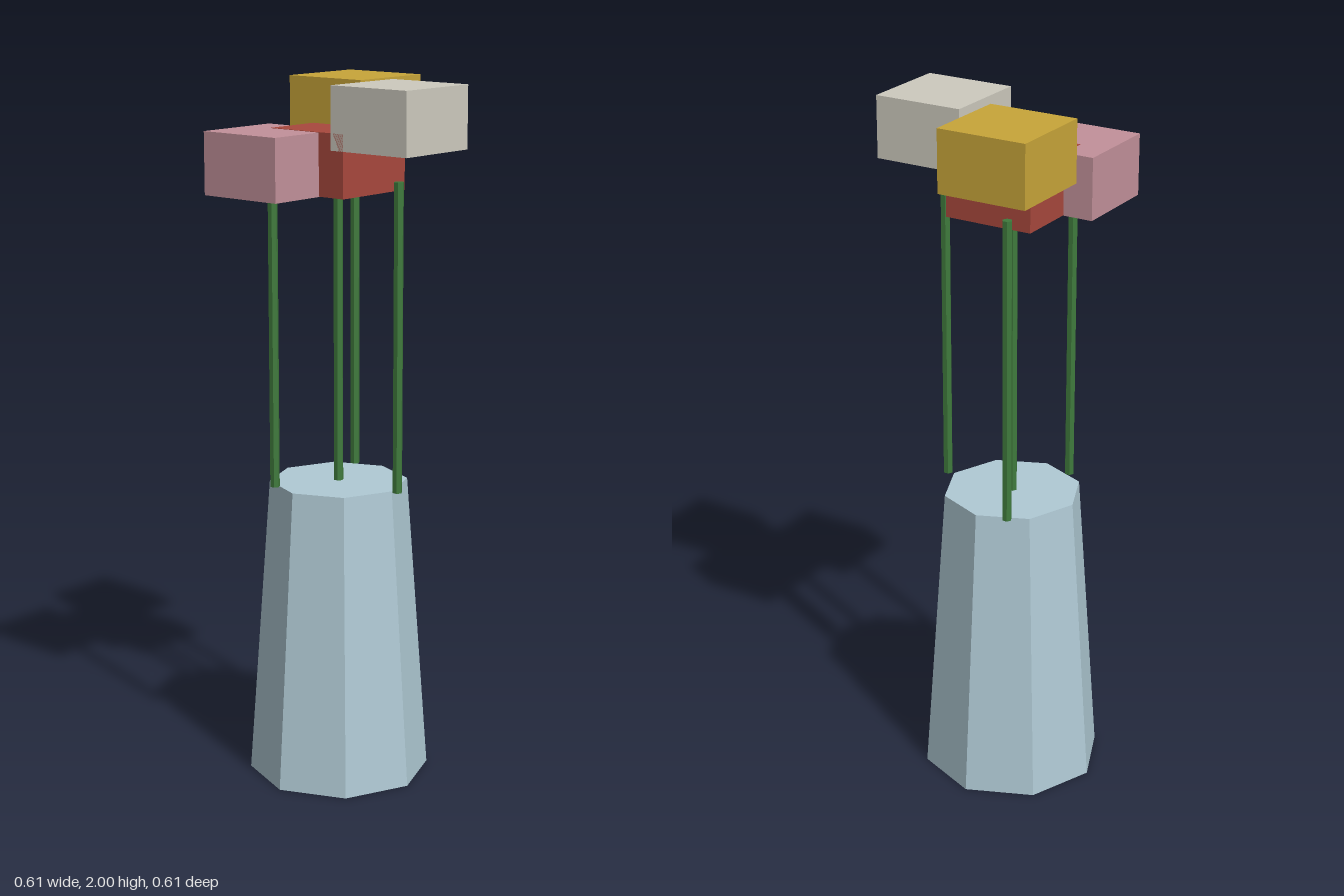
import * as THREE from 'three';

const mat = (name, color) => {
  const m = new THREE.MeshStandardMaterial({ color });
  m.name = name;
  return m;
};

export function createModel() {
  const group = new THREE.Group();
  const vaseBlue = mat('pale blue', 0xb0cad5);
  const stemGreen = mat('stem green', 0x3f7a3c);
  vaseBlue.flatShading = true;
  stemGreen.flatShading = true;

  const add = (name, geometry, material, x, y, z) => {
    const mesh = new THREE.Mesh(geometry, material);
    mesh.name = name;
    mesh.position.set(x, y, z);
    group.add(mesh);
  };

  // Tapered eight-sided vase
  const vaseHeight = 0.87;
  add('vase', new THREE.CylinderGeometry(0.197, 0.26, vaseHeight, 8), vaseBlue, 0, vaseHeight / 2, -0.043);

  // Block flowers on thin stems: name, colour, x, z, block centre height
  const flowers = [
    ['red', 0xa8483d, 0, -0.043, 1.7855],
    ['white', 0xcdcabe, 0, 0.174, 1.913],
    ['pink', 0xc2919a, -0.174, -0.13, 1.7845],
    ['yellow', 0xc8a539, 0.174, -0.13, 1.913],
  ];
  const stem = new THREE.CylinderGeometry(0.014, 0.014, 0.87, 6);
  const bloom = new THREE.BoxGeometry(0.261, 0.174, 0.261);
  for (const [name, color, x, z, y] of flowers) {
    add(`${name}Stem`, stem, stemGreen, x, vaseHeight + 0.435, z);
    add(`${name}Bloom`, bloom, mat(`${name} petals`, color), x, y, z);
  }
  return group;
}
